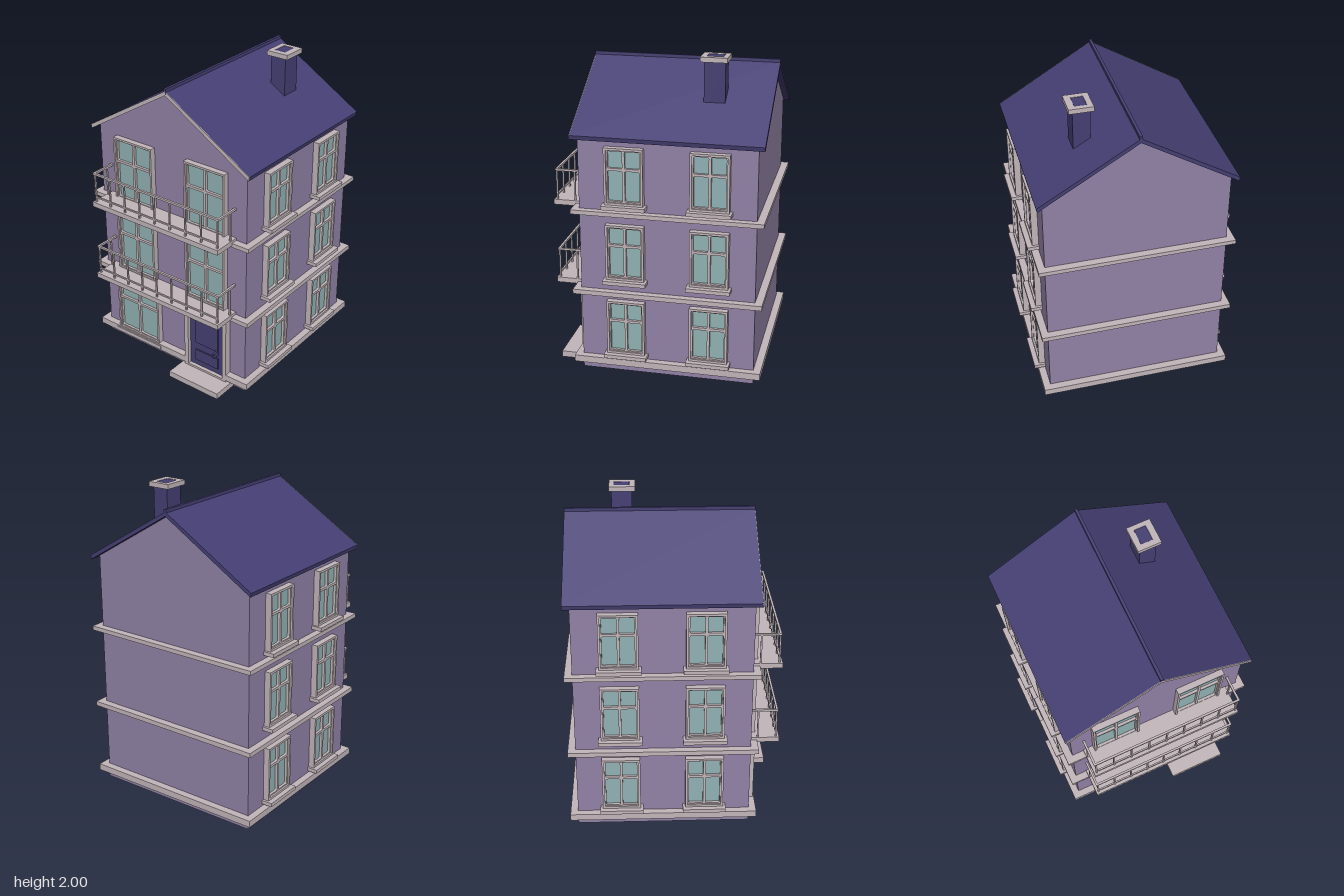
import * as THREE from 'three';

const mat = (name, color) => {
  const m = new THREE.MeshStandardMaterial({ color });
  m.name = name;
  return m;
};

export function createModel() {
  const wall = mat('mauve wall', 0x9182a6);
  const trim = mat('pale trim', 0xc2b6ba);
  const navy = mat('navy', 0x453f73);
  const glass = mat('glass', 0x91b2b4);
  const house = new THREE.Group();
  house.name = 'house';

  // Box given by its two extreme corners
  const box = (parent, name, m, x0, x1, y0, y1, z0, z1) => {
    const mesh = new THREE.Mesh(new THREE.BoxGeometry(x1 - x0, y1 - y0, z1 - z0), m);
    mesh.position.set((x0 + x1) / 2, (y0 + y1) / 2, (z0 + z1) / 2);
    mesh.name = name;
    parent.add(mesh);
    return mesh;
  };
  const extrude = (parent, name, m, shape, z0, z1) => {
    const mesh = new THREE.Mesh(
      new THREE.ExtrudeGeometry(shape, { depth: z1 - z0, bevelEnabled: false, curveSegments: 3 }), m);
    mesh.position.z = z0;
    mesh.name = name;
    parent.add(mesh);
    return mesh;
  };
  const poly = (pts) => new THREE.Shape(pts.map(([x, y]) => new THREE.Vector2(x, y)));
  const rect = (x0, x1, y0, y1) => poly([[x0, y0], [x1, y0], [x1, y1], [x0, y1]]);
  const roundPane = (x0, x1, y0, y1, r = 0.008) => {
    const p = new THREE.Path();
    p.moveTo(x0 + r, y0).lineTo(x1 - r, y0).quadraticCurveTo(x1, y0, x1, y0 + r);
    p.lineTo(x1, y1 - r).quadraticCurveTo(x1, y1, x1 - r, y1);
    p.lineTo(x0 + r, y1).quadraticCurveTo(x0, y1, x0, y1 - r);
    p.lineTo(x0, y0 + r).quadraticCurveTo(x0, y0, x0 + r, y0);
    return p;
  };

  // Walls with gables
  extrude(house, 'walls', wall,
    poly([[-0.57, 0], [0.57, 0], [0.57, 1.555], [0, 1.9], [-0.57, 1.555]]), -0.615, 0.48);

  // Roof, front bargeboard and ridge
  const roofShape = poly([[0, 1.92], [-0.61, 1.55], [-0.605, 1.524],
    [0, 1.893], [0.605, 1.524], [0.61, 1.55]]);
  extrude(house, 'roof', navy, roofShape, -0.655, 0.516);
  extrude(house, 'bargeboard', trim, roofShape, 0.516, 0.52);
  box(house, 'ridge', navy, -0.009, 0.009, 1.9, 1.935, -0.655, 0.52);

  // Chimney with a ring cap around the flue
  box(house, 'chimney', navy, 0.22, 0.325, 1.66, 1.975, -0.37, -0.24);
  const cap = rect(0.2, 0.35, -0.385, -0.22);
  cap.holes.push(rect(0.235, 0.31, -0.355, -0.255));
  const capMesh = extrude(house, 'chimneyCap', trim, cap, 0, 0.03);
  capMesh.geometry.scale(1, -1, 1).rotateX(-Math.PI / 2);
  // Restore outward winding after mirroring
  const cp = capMesh.geometry.attributes.position;
  for (let i = 0; i < cp.count; i += 3) {
    const a = new THREE.Vector3().fromBufferAttribute(cp, i);
    const b = new THREE.Vector3().fromBufferAttribute(cp, i + 1);
    cp.setXYZ(i, b.x, b.y, b.z);
    cp.setXYZ(i + 1, a.x, a.y, a.z);
  }
  capMesh.geometry.computeVertexNormals();
  capMesh.position.set(0, 1.97, 0);
  box(house, 'flue', navy, 0.236, 0.309, 1.96, 1.998, -0.354, -0.256);

  // String courses around the house; the front is given as x spans
  const band = (y0, y1, spans) => {
    const g = new THREE.Group();
    g.name = 'stringCourse';
    for (const s of [-1, 1]) {
      box(g, 'sideCourse', trim, s < 0 ? -0.615 : 0.57, s < 0 ? -0.57 : 0.615, y0, y1, -0.662, 0.525);
    }
    box(g, 'backCourse', trim, -0.57, 0.57, y0, y1, -0.662, -0.615);
    for (const [a, b] of spans) box(g, 'frontCourse', trim, a, b, y0, y1, 0.48, 0.525);
    house.add(g);
  };
  band(0.052, 0.095, [[-0.57, 0.12], [0.45, 0.57]]);
  band(0.525, 0.555, [[-0.57, 0.57]]);
  band(1.055, 1.082, [[-0.57, 0.57]]);

  // Window facing local +z, base at y = 0; returns its group
  const makeWindow = (w, h, transom, border, depth) => {
    const g = new THREE.Group();
    g.name = 'window';
    const x = w / 2, b = border, c = 0.008, t = 0.008;
    const frame = rect(-x, x, 0, h);
    frame.holes.push(rect(-x + b, x - b, b, h - b));
    extrude(g, 'frame', trim, frame, 0, depth);
    const sash = rect(-x + b, x - b, b, h - b);
    for (const [x0, x1] of [[-x + b + c, -t], [t, x - b - c]]) {
      sash.holes.push(roundPane(x0, x1, b + c, transom - t));
      sash.holes.push(roundPane(x0, x1, transom + t, h - b - c));
    }
    extrude(g, 'sash', trim, sash, 0, depth * 0.7);
    box(g, 'pane', glass, -x + b, x - b, b, h - b, 0.002, 0.01);
    house.add(g);
    return g;
  };

  // Side windows with sills
  for (const y of [0.135, 0.64, 1.13]) {
    for (const z of [0.19, -0.333]) {
      for (const s of [-1, 1]) {
        const g = makeWindow(0.24, 0.357, 0.222, 0.014, 0.04);
        box(g, 'sill', trim, -0.136, 0.136, -0.024, 0, 0, 0.072);
        g.position.set(s * 0.57, y, z);
        g.rotation.y = s * Math.PI / 2;
      }
    }
  }

  // Balcony windows and ground floor window
  for (const y of [0.565, 1.082]) {
    for (const s of [-1, 1]) {
      makeWindow(0.305, y < 1 ? 0.445 : 0.428, 0.265, 0.013, 0.038).position.set(s * 0.278, y, 0.48);
    }
  }
  makeWindow(0.35, 0.415, 0.245, 0.013, 0.038).position.set(-0.28, 0.085, 0.48);
  box(house, 'frontSill', trim, -0.47, -0.085, 0.06, 0.085, 0.48, 0.53);

  // Balconies
  for (const y of [0.573, 1.098]) {
    const g = new THREE.Group();
    g.name = 'balcony';
    box(g, 'slab', trim, -0.495, 0.495, -0.033, 0, 0.48, 0.665);
    box(g, 'topRail', trim, -0.492, 0.492, 0.186, 0.199, 0.638, 0.652);
    box(g, 'lowerRail', trim, -0.48, 0.48, 0.026, 0.036, 0.64, 0.65);
    for (let i = 0; i < 9; i++) {
      const x = -0.478 + i * 0.1195;
      box(g, 'baluster', trim, x - 0.005, x + 0.005, 0, 0.19, 0.64, 0.65);
    }
    for (const s of [-1, 1]) {
      const x = s * 0.485;
      box(g, 'sideRail', trim, x - 0.007, x + 0.007, 0.186, 0.199, 0.48, 0.638);
      box(g, 'wallPost', trim, x - 0.005, x + 0.005, 0, 0.19, 0.525, 0.535);
      box(g, 'bracket', trim, s * 0.34 - 0.019, s * 0.34 + 0.019, -0.107, -0.033, 0.48, 0.57);
    }
    g.position.y = y;
    house.add(g);
  }

  // Door, frame and step
  box(house, 'doorLeaf', navy, 0.15, 0.422, 0.052, 0.5, 0.48, 0.5);
  box(house, 'doorUpperPanel', navy, 0.195, 0.375, 0.23, 0.425, 0.5, 0.508);
  box(house, 'doorLowerPanel', navy, 0.195, 0.375, 0.095, 0.175, 0.5, 0.508);
  box(house, 'doorHandle', navy, 0.362, 0.378, 0.203, 0.235, 0.5, 0.548);
  box(house, 'doorJamb', trim, 0.12, 0.15, 0.04, 0.525, 0.48, 0.525);
  box(house, 'doorJamb', trim, 0.422, 0.452, 0.04, 0.525, 0.48, 0.525);
  box(house, 'doorLintel', trim, 0.15, 0.422, 0.497, 0.525, 0.48, 0.525);
  box(house, 'threshold', trim, 0.15, 0.422, 0.04, 0.054, 0.48, 0.525);
  box(house, 'step', trim, 0.095, 0.482, 0, 0.04, 0.48, 0.655);

  return house;
}
